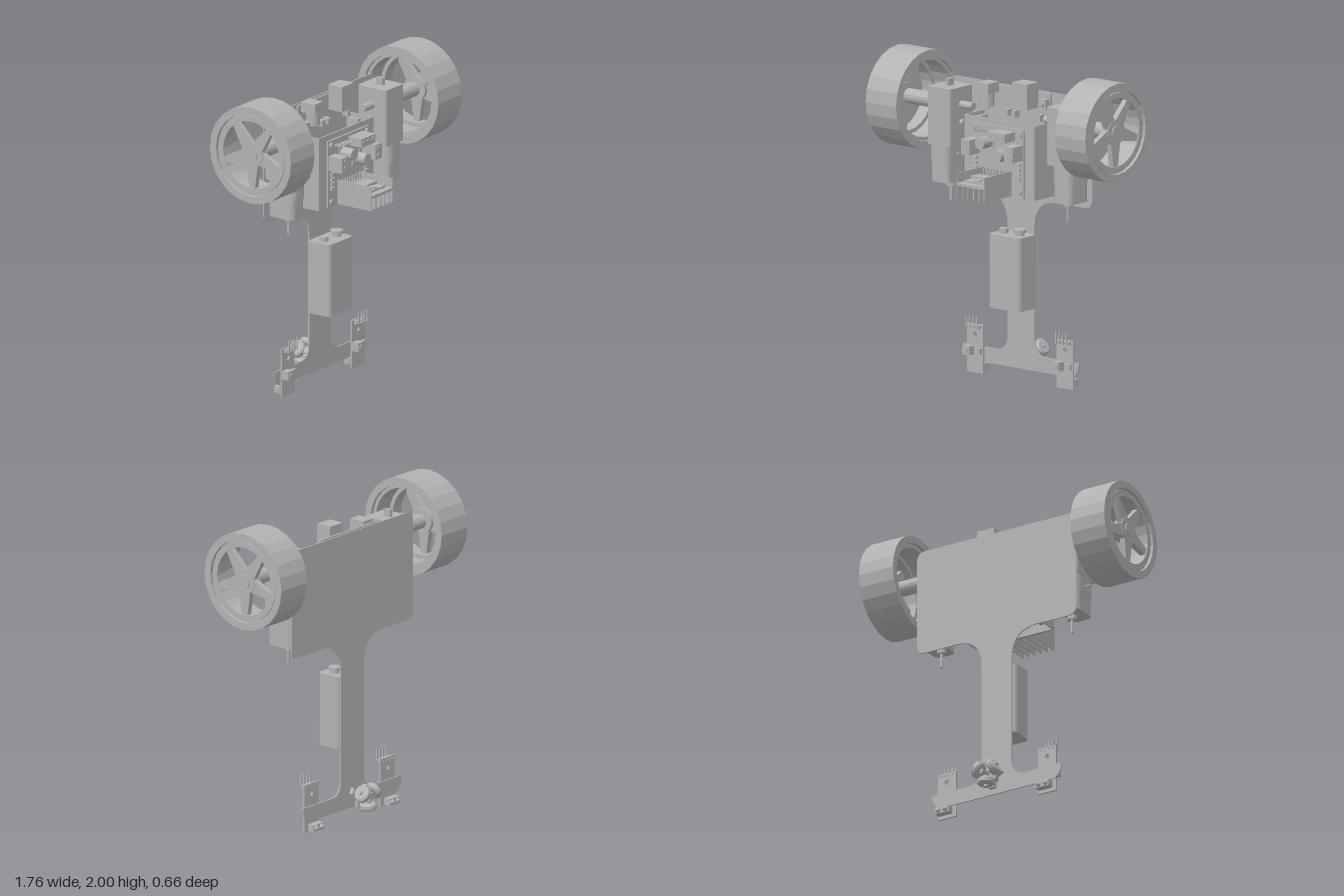
import * as THREE from 'three';

export function createModel() {
  const root = new THREE.Group();
  const grey = new THREE.MeshStandardMaterial({ color: 0xb2b2b2, flatShading: true });

  const add = (name, geo, x = 0, y = 0, z = 0, parent = root) => {
    const m = new THREE.Mesh(geo, grey);
    m.name = name;
    m.position.set(x, y, z);
    parent.add(m);
    return m;
  };
  // box given by its limits
  const box = (name, x0, x1, y0, y1, z0, z1, parent = root) =>
    add(name, new THREE.BoxGeometry(x1 - x0, y1 - y0, z1 - z0),
      (x0 + x1) / 2, (y0 + y1) / 2, (z0 + z1) / 2, parent);
  // cylinder along a chosen axis
  const cyl = (name, axis, r, len, x, y, z, parent = root, n = 16) => {
    const g = new THREE.CylinderGeometry(r, r, len, n);
    if (axis === 'x') g.rotateZ(-Math.PI / 2);
    if (axis === 'z') g.rotateX(Math.PI / 2);
    return add(name, g, x, y, z, parent);
  };
  const group = (name, x = 0, y = 0, z = 0) => {
    const g = new THREE.Group();
    g.name = name;
    g.position.set(x, y, z);
    root.add(g);
    return g;
  };
  const extrude = (shape, depth) =>
    new THREE.ExtrudeGeometry(shape, { depth, bevelEnabled: false, curveSegments: 8 });
  const ring = (r0, r1, x0, x1, n) => {
    const g = new THREE.LatheGeometry([[r1, x0], [r1, x1], [r0, x1], [r0, x0], [r1, x0]]
      .map(p => new THREE.Vector2(...p)), n);
    return g.rotateZ(-Math.PI / 2);
  };
  const roundRect = (w, h, r) => {
    const s = new THREE.Shape(), a = w / 2 - r, b = h / 2 - r;
    s.absarc(a, b, r, 0, Math.PI / 2);
    s.absarc(-a, b, r, Math.PI / 2, Math.PI);
    s.absarc(-a, -b, r, Math.PI, Math.PI * 1.5);
    s.absarc(a, -b, r, Math.PI * 1.5, Math.PI * 2);
    s.closePath();
    return s;
  };

  // flat chassis: wide deck, narrow stem and foot bar
  const c = new THREE.Shape();
  c.moveTo(-0.41, 0.075);
  c.lineTo(0.41, 0.075);
  c.quadraticCurveTo(0.46, 0.1, 0.465, 0.172);
  c.lineTo(0.205, 0.172);
  c.quadraticCurveTo(0.108, 0.172, 0.108, 0.27);
  c.lineTo(0.108, 0.98);
  c.quadraticCurveTo(0.118, 1.14, 0.27, 1.15);
  c.lineTo(0.51, 1.15);
  c.quadraticCurveTo(0.572, 1.15, 0.572, 1.21);
  c.lineTo(0.572, 1.775);
  c.quadraticCurveTo(0.572, 1.835, 0.51, 1.835);
  c.lineTo(-0.51, 1.835);
  c.quadraticCurveTo(-0.572, 1.835, -0.572, 1.775);
  c.lineTo(-0.572, 1.21);
  c.quadraticCurveTo(-0.572, 1.15, -0.51, 1.15);
  c.lineTo(-0.27, 1.15);
  c.quadraticCurveTo(-0.118, 1.14, -0.108, 0.98);
  c.lineTo(-0.108, 0.27);
  c.quadraticCurveTo(-0.108, 0.172, -0.205, 0.172);
  c.lineTo(-0.465, 0.172);
  c.quadraticCurveTo(-0.46, 0.1, -0.41, 0.075);
  add('chassis', extrude(c, 0.009), 0, 0, -0.155);

  // wheels and gear motors
  for (const s of [-1, 1]) {
    const w = group(s > 0 ? 'leftWheel' : 'rightWheel', s * 0.758, 1.692, -0.023);
    if (s < 0) w.rotation.y = Math.PI;
    add('tyre', ring(0.262, 0.308, -0.122, 0.122, 24), 0, 0, 0, w);
    add('rim', ring(0.215, 0.252, 0.03, 0.112, 24), 0, 0, 0, w);
    add('rimBand', ring(0.24, 0.263, -0.1, 0.1, 24), 0, 0, 0, w);
    cyl('hub', 'x', 0.08, 0.06, 0.08, 0, 0, w, 20);
    cyl('hubCap', 'x', 0.045, 0.012, 0.112, 0, 0, w);
    cyl('hubTube', 'x', 0.047, 0.2, -0.06, 0, 0, w);
    const sp = new THREE.Shape([[-0.045, 0.05], [0.045, 0.05], [0.02, 0.225], [-0.02, 0.225]]
      .map(p => new THREE.Vector2(...p)));
    for (let i = 0; i < 5; i++) {
      const g = extrude(sp, 0.035).rotateZ(Math.PI + i * Math.PI * 0.4).rotateY(Math.PI / 2);
      add('spoke', g, 0.07, 0, 0, w);
    }

    const m = group(s > 0 ? 'leftMotor' : 'rightMotor', s * 0.478, 0, -0.037);
    add('gearbox', extrude(roundRect(0.185, 0.216, 0.015), 0.36).rotateX(-Math.PI / 2), 0, 1.44, 0, m);
    box('mountTab', -0.012, 0.012, 1.8, 1.845, -0.025, 0.025, m);
    const ox = s * 0.013;
    add('motorCan', extrude(roundRect(0.148, 0.21, 0.05), 0.12).rotateX(-Math.PI / 2), ox, 1.325, 0, m);
    add('motorEnd', extrude(roundRect(0.14, 0.19, 0.04), 0.12).rotateX(-Math.PI / 2), ox, 1.205, 0, m);
    cyl('motorBoss', 'y', 0.03, 0.03, -s * 0.01, 1.19, 0, m);
    cyl('motorShaft', 'y', 0.01, 0.11, -s * 0.01, 1.14, 0, m, 10);
    cyl('axle', 'x', 0.024, 0.4, s * 0.01, 1.692, 0, m);
    cyl('clampPin', 'x', 0.007, 0.2, s * 0.025, 1.38, 0, m, 8);
    cyl('locatingPeg', 'x', 0.02, 0.03, -s * 0.1, 1.58, 0, m, 12);
  }

  // main controller board
  const b = group('controllerBoard');
  box('board', -0.265, 0.262, 1.19, 1.835, -0.128, -0.115, b);
  box('boardTab', -0.22, 0.2, 1.165, 1.19, -0.128, -0.115, b);
  box('powerJack', -0.235, -0.15, 1.79, 1.855, -0.115, -0.01, b);
  cyl('powerJackBarrel', 'y', 0.042, 0.08, -0.192, 1.75, -0.056, b);
  box('dataSocket', 0.045, 0.165, 1.735, 1.895, -0.115, -0.01, b);
  box('resetButtonBase', 0.195, 0.253, 1.74, 1.8, -0.115, -0.08, b);
  cyl('resetButton', 'z', 0.018, 0.02, 0.224, 1.77, -0.07, b);
  box('chip', -0.1, 0.0, 1.24, 1.55, -0.115, -0.08, b);
  for (const x of [-0.25, 0.247]) box('pinHeader', x - 0.012, x + 0.012, 1.2, 1.64, -0.115, -0.03, b);
  for (const [x, y] of [[-0.24, 1.695], [0.1, 1.18], [-0.19, 1.18], [0.24, 1.69]])
    cyl('spacer', 'z', 0.018, 0.045, x, y, -0.125, b, 12);
  for (const x of [-0.06, 0, 0.2]) box('smallPart', x - 0.015, x + 0.015, 1.66, 1.7, -0.115, -0.07, b);
  box('bottomHeader', -0.03, 0.045, 1.17, 1.2, -0.115, -0.05, b);

  // bracket bridging over the controller board
  const k = group('bracket');
  box('bracketFace', -0.282, 0.278, 1.195, 1.66, 0.045, 0.055, k);
  box('bracketSide', -0.282, -0.273, 1.195, 1.66, -0.146, 0.05, k);
  box('bracketSide', 0.269, 0.278, 1.195, 1.66, -0.146, 0.05, k);

  // motor driver board
  const d = group('driverBoard');
  box('board', -0.213, 0.207, 1.2, 1.628, 0.062, 0.075, d);
  for (const x of [-0.185, 0.18]) for (const y of [1.235, 1.598]) cyl('screw', 'z', 0.018, 0.02, x, y, 0.08, d, 12);
  for (const x of [-0.175, 0.17]) {
    box('sideTerminal', x - 0.034, x + 0.034, 1.44, 1.535, 0.075, 0.175, d);
    for (const y of [1.465, 1.51]) cyl('terminalScrew', 'z', 0.015, 0.006, x, y, 0.177, d, 10);
    for (let i = 0; i < 4; i++) box('smallPart', x - 0.018, x + 0.018, 1.31 + i * 0.03, 1.33 + i * 0.03, 0.075, 0.09, d);
  }
  box('topTerminal', -0.005, 0.14, 1.555, 1.61, 0.075, 0.175, d);
  for (let i = 0; i < 3; i++) cyl('terminalScrew', 'z', 0.015, 0.006, 0.022 + i * 0.046, 1.585, 0.177, d, 10);
  for (const [x, y] of [[-0.068, 1.525], [0.068, 1.46]]) {
    box('capacitorBase', x - 0.04, x + 0.04, y - 0.04, y + 0.04, 0.075, 0.085, d);
    cyl('capacitor', 'z', 0.037, 0.085, x, y, 0.125, d);
  }
  for (let i = 0; i < 5; i++) cyl('jumperPin', 'z', 0.005, 0.06, -0.15 + i * 0.027, 1.59, 0.1, d, 6);

  // heat sink with downward fins and the driver chip on top
  const h = group('heatSink');
  box('finBase', -0.115, 0.11, 1.283, 1.3, 0.075, 0.33, h);
  for (const x of [-0.112, 0.107]) box('endFin', x - 0.003, x + 0.003, 1.205, 1.36, 0.075, 0.33, h);
  for (let i = 1; i < 5; i++) box('fin', -0.115 + i * 0.045, -0.109 + i * 0.045, 1.205, 1.285, 0.075, 0.33, h);
  box('driverChip', -0.09, 0.085, 1.3, 1.33, 0.15, 0.225, h);
  box('chipTab', -0.09, 0.085, 1.3, 1.312, 0.225, 0.285, h);
  cyl('chipScrew', 'y', 0.024, 0.012, 0, 1.318, 0.258, h);
  for (let i = 0; i < 8; i++) {
    const x = -0.09 + i * 0.025;
    box('chipLead', x - 0.004, x + 0.004, 1.315, 1.323, 0.075, 0.15, h);
    box('chipLead', x - 0.004, x + 0.004, 1.323, 1.36, 0.09, 0.1, h);
  }

  // battery
  const p = group('battery');
  add('batteryCase', extrude(roundRect(0.25, 0.166, 0.03), 0.46).rotateX(-Math.PI / 2), -0.002, 0.47, -0.063, p);
  cyl('smallTerminal', 'y', 0.028, 0.03, -0.068, 0.945, -0.063, p);
  cyl('largeTerminalStem', 'y', 0.028, 0.03, 0.06, 0.94, -0.063, p);
  cyl('largeTerminal', 'y', 0.04, 0.018, 0.06, 0.96, -0.063, p);

  // line sensors on the foot bar
  for (const x of [-0.352, 0.368]) {
    const q = group('lineSensor', x, 0, 0);
    const s = new THREE.Shape([[-0.065, 0.005], [0.065, 0.005], [0.065, 0.31], [-0.065, 0.31]]
      .map(v => new THREE.Vector2(...v)));
    s.holes.push(new THREE.Path().absarc(0, 0.245, 0.016, 0, Math.PI * 2, true));
    add('sensorBoard', extrude(s, 0.012), 0, 0, -0.138, q);
    box('trimmer', -0.063, -0.008, 0.118, 0.173, -0.126, -0.078, q);
    cyl('trimmerScrew', 'z', 0.016, 0.008, -0.036, 0.146, -0.076, q, 10);
    box('comparator', 0.014, 0.055, 0.128, 0.163, -0.126, -0.105, q);
    box('pinBase', -0.045, 0.05, 0.285, 0.305, -0.126, -0.105, q);
    for (let i = 0; i < 4; i++) {
      const px = -0.04 + i * 0.028;
      box('pinFoot', px - 0.004, px + 0.004, 0.291, 0.299, -0.145, -0.086, q);
      box('pin', px - 0.004, px + 0.004, 0.295, 0.365, -0.094, -0.086, q);
    }
    box('detectorBlock', -0.048, 0.05, 0.02, 0.062, -0.198, -0.152, q);
    for (const e of [-0.024, 0.026]) {
      add('detectorLens', new THREE.SphereGeometry(0.017, 10, 8), e, 0.041, -0.198, q);
      cyl('detectorLead', 'z', 0.006, 0.03, e, 0.041, -0.143, q, 6);
    }
  }

  // three-roller caster behind the foot bar
  const t = group('caster', 0, 0.165, 0);
  cyl('casterPost', 'z', 0.014, 0.06, 0, 0, -0.175, t);
  cyl('casterHub', 'z', 0.035, 0.03, 0, 0, -0.205, t);
  for (let i = 0; i < 3; i++) {
    const arm = new THREE.Group();
    arm.name = 'casterArm';
    arm.rotation.z = Math.PI + i * Math.PI * 2 / 3;
    t.add(arm);
    box('armPlate', -0.02, 0.02, 0, 0.075, -0.218, -0.192, arm);
    box('fork', -0.014, 0.014, 0.02, 0.034, -0.295, -0.2, arm);
    cyl('rollerPin', 'y', 0.014, 0.075, 0, 0.058, -0.28, arm, 10);
    const prof = [[0, -0.022], [0.042, -0.022], [0.054, -0.012], [0.054, 0.012], [0.042, 0.022], [0, 0.022]];
    add('roller', new THREE.LatheGeometry(prof.map(v => new THREE.Vector2(...v)), 18), 0, 0.06, -0.28, arm);
  }
  return root;
}
